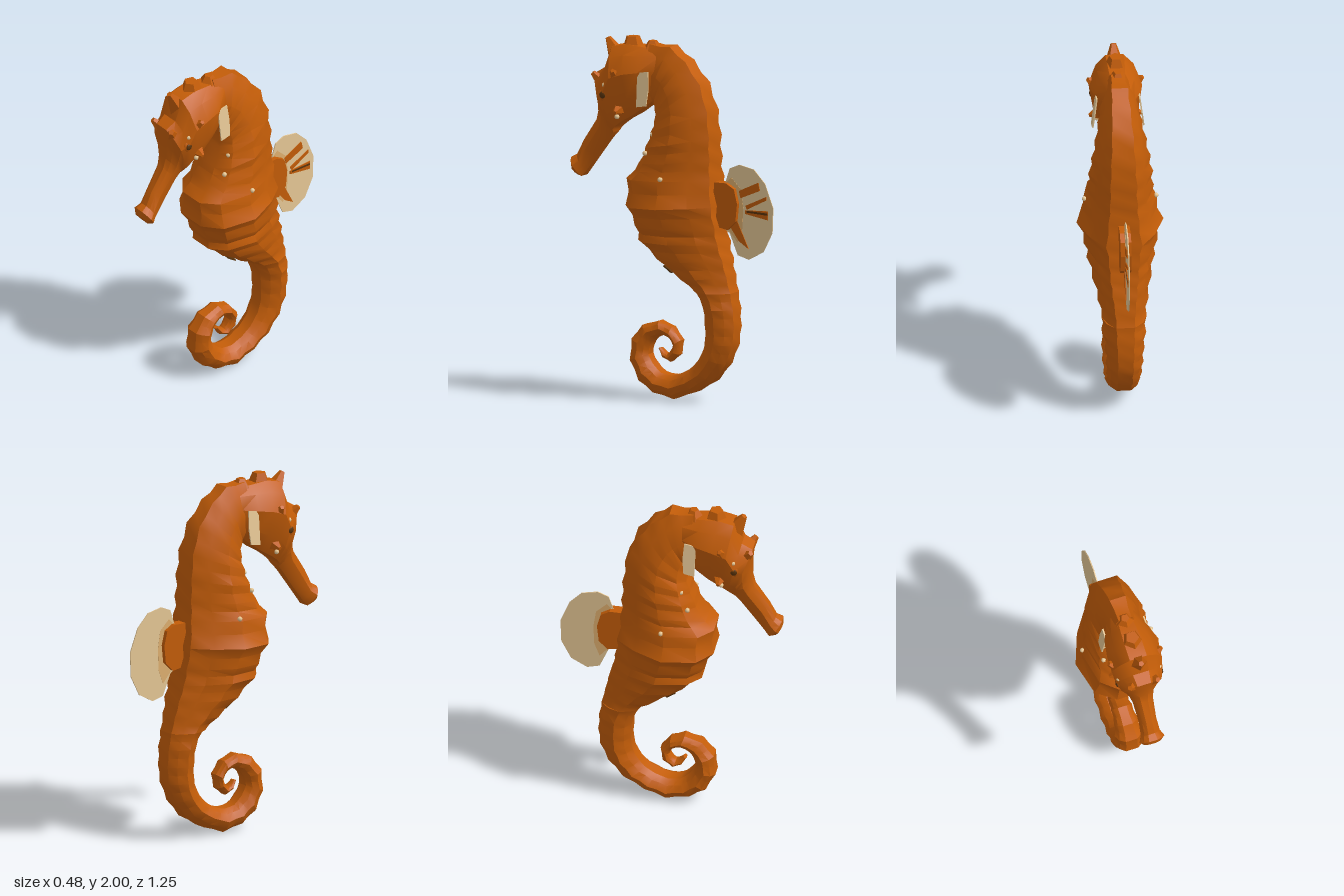
import * as THREE from 'three';
import { toCreasedNormals } from 'three/addons/utils/BufferGeometryUtils.js';

const orange = new THREE.MeshStandardMaterial({ color: 0xc45d08 });
orange.name = 'orange skin';
const cream = new THREE.MeshStandardMaterial({ color: 0xf0d09c, side: THREE.DoubleSide });
cream.name = 'cream fin';
const tan = new THREE.MeshStandardMaterial({ color: 0xe0b070 });
tan.name = 'tan fin base';
const brown = new THREE.MeshStandardMaterial({ color: 0x5a340c });
brown.name = 'dark brown';

// Half cross-sections: [fraction from first edge to second edge, fraction of half width]
const trunkSection = [[0, 0.42], [0.2, 0.74], [0.5, 1], [0.84, 0.8], [0.98, 0.36]];
const tailSection = [[0, 0.42], [0.2, 0.8], [0.5, 1], [0.8, 0.76], [0.98, 0.36]];
const headSection = [[0, 0.5], [0.25, 0.85], [0.6, 1], [0.86, 0.72], [1, 0.34]];

// Stations: [first edge z, y, second edge z, y, half width]
const trunkStations = [
  [0.13, 1.97, 0.14, 1.66, 0.09], [0, 1.965, 0.11, 1.63, 0.11], [-0.1, 1.89, 0.1, 1.6, 0.125],
  [-0.195, 1.77, 0.1, 1.54, 0.145], [-0.245, 1.62, 0.12, 1.48, 0.165], [-0.26, 1.48, 0.15, 1.4, 0.18],
  [-0.265, 1.36, 0.19, 1.31, 0.185], [-0.27, 1.25, 0.265, 1.22, 0.205], [-0.285, 1.1, 0.265, 1.07, 0.24],
  [-0.3, 0.98, 0.215, 0.96, 0.205], [-0.315, 0.89, 0.195, 0.88, 0.19], [-0.34, 0.8, 0.085, 0.78, 0.165],
  [-0.36, 0.71, -0.055, 0.68, 0.14], [-0.38, 0.62, -0.15, 0.62, 0.125],
];
const tailStations = [
  trunkStations.at(-1),
  [-0.395, 0.53, -0.2, 0.53, 0.12], [-0.4, 0.43, -0.21, 0.43, 0.11], [-0.39, 0.33, -0.21, 0.34, 0.105],
  [-0.345, 0.22, -0.19, 0.27, 0.1], [-0.265, 0.12, -0.14, 0.2, 0.095], [-0.15, 0.05, -0.08, 0.16, 0.095],
  [-0.02, 0.002, -0.01, 0.135, 0.093], [0.11, 0.03, 0.06, 0.145, 0.092], [0.2, 0.09, 0.11, 0.19, 0.09],
  [0.255, 0.2, 0.14, 0.24, 0.085], [0.245, 0.32, 0.13, 0.29, 0.08], [0.18, 0.4, 0.1, 0.33, 0.068],
  [0.08, 0.43, 0.05, 0.35, 0.06], [0, 0.4, 0.01, 0.33, 0.055], [-0.055, 0.33, -0.005, 0.295, 0.05],
  [-0.045, 0.25, 0.01, 0.27, 0.045], [0.01, 0.205, 0.03, 0.25, 0.04], [0.06, 0.225, 0.05, 0.26, 0.035],
  [0.09, 0.275, 0.07, 0.28, 0.02],
];
const headStations = [
  [0.1, 1.66, 0.06, 1.94, 0.09], [0.15, 1.62, 0.17, 1.95, 0.13], [0.22, 1.57, 0.27, 1.96, 0.145],
  [0.29, 1.53, 0.36, 1.94, 0.145], [0.33, 1.5, 0.405, 1.82, 0.135], [0.35, 1.48, 0.465, 1.785, 0.115],
  [0.355, 1.465, 0.455, 1.68, 0.09], [0.36, 1.455, 0.455, 1.58, 0.07], [0.39, 1.42, 0.47, 1.52, 0.058],
  [0.47, 1.31, 0.55, 1.4, 0.05], [0.53, 1.23, 0.59, 1.32, 0.055], [0.555, 1.2, 0.625, 1.3, 0.072],
  [0.585, 1.205, 0.625, 1.26, 0.05],
];

// Adds a pinched ring between stations, leaving bony ridges
function addGrooves(stations, pinch) {
  return stations.flatMap((s, i) => {
    const n = stations[i + 1];
    if (!n) return [s];
    const m = s.map((v, k) => (v + n[k]) / 2);
    const shift = (k) => (m[(k + 2) % 4] - m[k]) * pinch;
    return [s, [m[0] + shift(0), m[1] + shift(1), m[2] + shift(2), m[3] + shift(3), m[4] * (1 - 3.5 * pinch)]];
  });
}

function loft(stations, section, crease) {
  const ring = [...section, ...section.map(([t, w]) => [t, -w]).reverse()];
  const n = ring.length;
  const pos = [];
  const index = [];
  for (const [az, ay, bz, by, half] of stations) {
    for (const [t, w] of ring) pos.push(w * half, ay + (by - ay) * t, az + (bz - az) * t);
  }
  for (let i = 0; i < stations.length - 1; i++) {
    for (let j = 0; j < n; j++) {
      const a = i * n + j, b = i * n + (j + 1) % n;
      index.push(a, b, a + n, b, b + n, a + n);
    }
  }
  const last = (stations.length - 1) * n;
  for (let j = 1; j < n - 1; j++) {
    index.push(0, j + 1, j, last, last + j, last + j + 1);
  }
  const geo = new THREE.BufferGeometry();
  geo.setAttribute('position', new THREE.Float32BufferAttribute(pos, 3));
  geo.setIndex(index);
  return toCreasedNormals(geo, crease);
}

export function createModel() {
  const model = new THREE.Group();
  const add = (name, geo, mat) => {
    const mesh = new THREE.Mesh(geo, mat);
    mesh.name = name;
    model.add(mesh);
    return mesh;
  };
  const spike = (name, from, to, radius, tip = 0.3) => {
    const a = new THREE.Vector3(...from), b = new THREE.Vector3(...to);
    const dir = b.clone().sub(a);
    const geo = new THREE.CylinderGeometry(radius * tip, radius, dir.length(), 5).toNonIndexed();
    geo.computeVertexNormals();
    const mesh = add(name, geo, orange);
    mesh.position.copy(a).add(b).multiplyScalar(0.5);
    mesh.quaternion.setFromUnitVectors(new THREE.Vector3(0, 1, 0), dir.normalize());
  };
  // Thin plate in the side plane, outlined by [z, y] points
  const plate = (name, points, thick, mat) => {
    const shape = new THREE.Shape(points.map(([z, y]) => new THREE.Vector2(-z, y)));
    const geo = new THREE.ExtrudeGeometry(shape, { depth: thick, bevelEnabled: false });
    geo.translate(0, 0, -thick / 2).rotateY(Math.PI / 2);
    return add(name, geo, mat);
  };

  // Body and head
  add('trunk', loft(addGrooves(trunkStations, 0.025), trunkSection, 0.65), orange);
  add('curledTail', loft(addGrooves(tailStations, 0.025), tailSection, 0.5), orange);
  add('headAndSnout', loft(headStations, headSection, 0.5), orange);

  // Dark patch under the belly
  const patch = add('bellyPatch', new THREE.BoxGeometry(0.12, 0.008, 0.06), brown);
  patch.position.set(0, 0.728, 0.008);
  patch.rotation.x = -0.62;

  // Crown and nape bumps
  spike('crown', [0, 1.88, 0.25], [0, 2, 0.255], 0.085, 0.45);
  spike('foreheadHorn', [0, 1.86, 0.34], [0, 1.98, 0.41], 0.065, 0.25);
  spike('napeBump', [0, 1.9, 0.13], [0, 1.985, 0.13], 0.08, 0.3);

  for (const s of [1, -1]) {
    // Head spines and eyes
    spike('browSpine', [s * 0.07, 1.75, 0.31], [s * 0.152, 1.825, 0.3], 0.065, 0.2);
    spike('noseBump', [s * 0.04, 1.72, 0.41], [s * 0.08, 1.79, 0.462], 0.045, 0.35);
    spike('cheekSpine', [s * 0.07, 1.61, 0.29], [s * 0.145, 1.59, 0.29], 0.05, 0.2);
    const mound = add('eyeMound', new THREE.SphereGeometry(0.038, 8, 6), orange);
    mound.scale.x = 0.5;
    mound.position.set(s * 0.114, 1.68, 0.37);
    const eye = add('eye', new THREE.SphereGeometry(0.02, 8, 6), brown);
    eye.scale.x = 0.4;
    eye.position.set(s * 0.129, 1.68, 0.375);

    // Small side fins behind the cheeks, leaning outward at the foot
    const fin = plate('cheekFin', [[0.035, 0.09], [-0.03, 0.1], [-0.038, 0], [-0.03, -0.09], [0.03, -0.1]], 0.008, cream);
    fin.position.set(s * 0.13, 1.73, 0.127);
    fin.rotation.z = s * 0.12;

    // Pale flecks on brow, cheek, chest and flank
    for (const [x, y, z] of [[0.118, 1.735, 0.37], [0.1, 1.56, 0.3], [0.105, 1.48, 0.075],
      [0.12, 1.375, 0.115], [0.198, 1.25, -0.02]]) {
      const fleck = add('paleFleck', new THREE.SphereGeometry(0.014, 6, 5), cream);
      fleck.position.set(s * x, y, z);
    }
  }

  // Back fin with a fleshy root and a tan border around it
  plate('backFin', [[-0.27, 1.21], [-0.32, 1.22], [-0.35, 1.31], [-0.41, 1.335], [-0.5, 1.315], [-0.57, 1.24],
    [-0.62, 1.11], [-0.615, 0.97], [-0.56, 0.86], [-0.47, 0.81], [-0.4, 0.83], [-0.35, 0.95], [-0.27, 1]], 0.006, cream);
  plate('backFinBorder', [[-0.33, 1.23], [-0.36, 1.26], [-0.42, 1.2], [-0.435, 1.1], [-0.43, 0.98],
    [-0.4, 0.9], [-0.35, 0.96]], 0.009, tan);
  plate('backFinRoot', [[-0.25, 1.23], [-0.34, 1.23], [-0.39, 1.2], [-0.41, 1.12], [-0.4, 1.02],
    [-0.35, 0.97], [-0.25, 0.99]], 0.06, orange);

  // Rays, raised on the left face of the fin
  const rays = [
    [[-0.41, 1.19], [-0.53, 1.245], [-0.54, 1.2], [-0.42, 1.15]],
    [[-0.45, 1.11], [-0.58, 1.17], [-0.58, 1.15], [-0.46, 1.09]],
    [[-0.45, 1.085], [-0.59, 1.09], [-0.59, 1.04], [-0.45, 1.065]],
    [[-0.39, 1.04], [-0.47, 0.87], [-0.41, 0.91], [-0.36, 0.98]],
  ];
  for (const ray of rays) plate('finRay', ray, 0.009, orange).position.x = 0.004;
  plate('finSlit', [[-0.46, 1.083], [-0.59, 1.078], [-0.59, 1.066], [-0.46, 1.073]], 0.009, brown).position.x = 0.005;
  return model;
}
